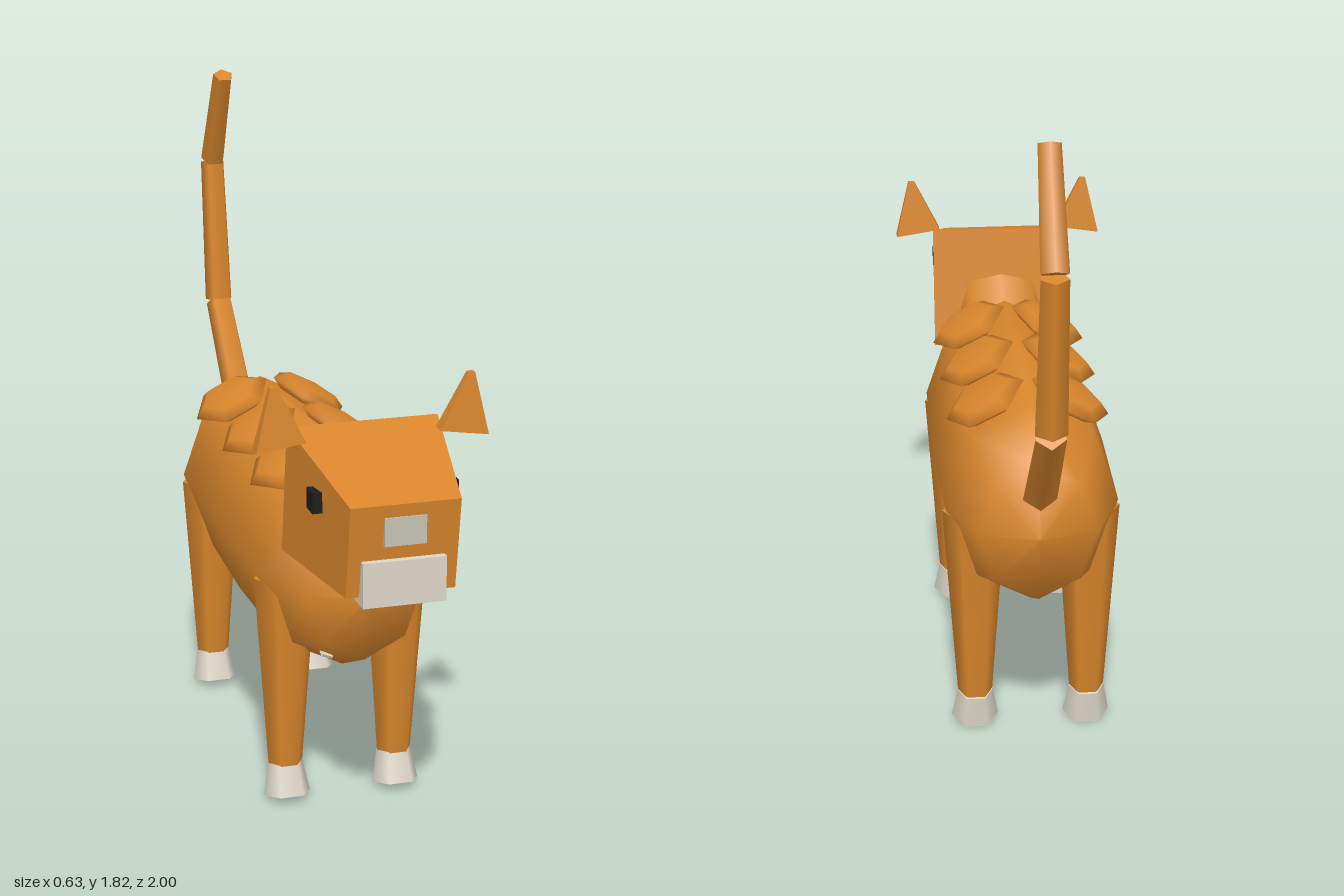
import * as THREE from 'three';

const paint = (name, color) => {
  const m = new THREE.MeshStandardMaterial({ color });
  m.name = name;
  return m;
};

export function createModel() {
  const model = new THREE.Group();
  model.name = 'cat';
  const fur = paint('orange fur', 0xd9862c);
  const white = paint('cream white', 0xddd6c8);
  const grey = paint('nose grey', 0xc4c0b4);
  const black = paint('eye black', 0x1c1c1e);

  const add = (name, geometry, material, x = 0, y = 0, z = 0) => {
    const mesh = new THREE.Mesh(geometry, material);
    mesh.name = name;
    mesh.position.set(x, y, z);
    model.add(mesh);
    return mesh;
  };

  // Tapered limb between two points given as [x, y, z]
  const limb = (name, a, b, ra, rb, sides, turn, material) => {
    const from = new THREE.Vector3(...a), to = new THREE.Vector3(...b);
    const dir = to.clone().sub(from);
    const g = new THREE.CylinderGeometry(rb, ra, dir.length(), sides).rotateY(turn);
    const mesh = add(name, g, material);
    mesh.position.copy(from).add(to).multiplyScalar(0.5);
    mesh.quaternion.setFromUnitVectors(new THREE.Vector3(0, 1, 0), dir.normalize());
    return mesh;
  };

  // Box whose corners are moved by a rule: place(sx, sy, sz) with signs of -1 or 1
  const shapedBox = (place) => {
    const g = new THREE.BoxGeometry(2, 2, 2);
    const p = g.attributes.position;
    for (let i = 0; i < p.count; i++) p.setXYZ(i, ...place(p.getX(i), p.getY(i), p.getZ(i)));
    g.computeVertexNormals();
    return g;
  };

  // Body: eight-sided barrel along z
  const profile = [[0, -0.68], [0.64, -0.635], [0.96, -0.43], [1, 0], [0.96, 0.43], [0.64, 0.635], [0, 0.68]]
    .map(([r, t]) => new THREE.Vector2(r, t));
  const body = new THREE.LatheGeometry(profile, 8).rotateX(Math.PI / 2).scale(0.25, 0.303, 1);
  add('body', body, fur, 0, 0.68, 0.035);

  // Neck and wedge-shaped head
  limb('neck', [0, 0.728, 0.466], [0, 0.91, 0.676], 0.14, 0.14, 8, 0, fur);
  add('head', shapedBox((x, y, z) => z > 0
    ? [x * 0.145, y > 0 ? 1.04 : 0.79, y > 0 ? 1.0 : 0.965]
    : [x * 0.205, y > 0 ? 1.145 : 0.79, y > 0 ? 0.635 : 0.585]), fur);
  add('muzzle', new THREE.BoxGeometry(0.22, 0.12, 0.11), white, 0, 0.83, 0.943);
  add('nose', new THREE.BoxGeometry(0.11, 0.075, 0.02), grey, 0, 0.968, 0.99);

  for (const s of [-1, 1]) {
    // Eyes and ears
    add('eye', new THREE.BoxGeometry(0.026, 0.055, 0.055), black, s * 0.182, 1.003, 0.812);
    add('ear', shapedBox((x, y, z) => y > 0
      ? [s * 0.265 + x * 0.009, 1.28, 0.717 + z * 0.008]
      : [s * 0.247 + x * 0.066, 1.12 - s * x * 0.01, 0.713 + z * 0.021]), fur);

    // Chest marks lying on the underside
    const mark = add('chestMark', new THREE.BoxGeometry(0.035, 0.009, 0.05), white, s * 0.07, 0.468, 0.535);
    mark.rotation.set(0.5, 0, s * 0.5);

    // Legs and paws
    for (const z of [0.448, -0.383]) {
      const end = z > 0 ? 'front' : 'back';
      limb(end + 'Leg', [s * 0.158, 0.1, z], [s * 0.158, 0.66, z], 0.048, 0.088, 6, Math.PI / 6, fur);
      limb(end + 'Paw', [s * 0.158, 0.018, z + 0.018], [s * 0.158, 0.106, z - 0.002], 0.066, 0.05, 6, Math.PI / 6, white);
    }

    // Faceted patches along the back, sloping outward
    for (const z of [0.335, 0.03, -0.28]) {
      const patch = new THREE.SphereGeometry(1, 6, 4).scale(0.12, 0.03, 0.156);
      add('backPatch', patch, fur, s * 0.118, 0.943, z).rotation.z = -s * 0.47;
    }
  }

  // Tail of three jointed pieces
  limb('tailBase', [0, 0.8, -0.615], [0, 1.08, -0.888], 0.048, 0.042, 5, Math.PI, fur);
  limb('tailMiddle', [0, 1.087, -0.89], [0, 1.518, -0.958], 0.044, 0.038, 5, Math.PI, fur);
  limb('tailTip', [0, 1.525, -0.955], [0, 1.812, -0.815], 0.038, 0.031, 5, Math.PI, fur);

  return model;
}
